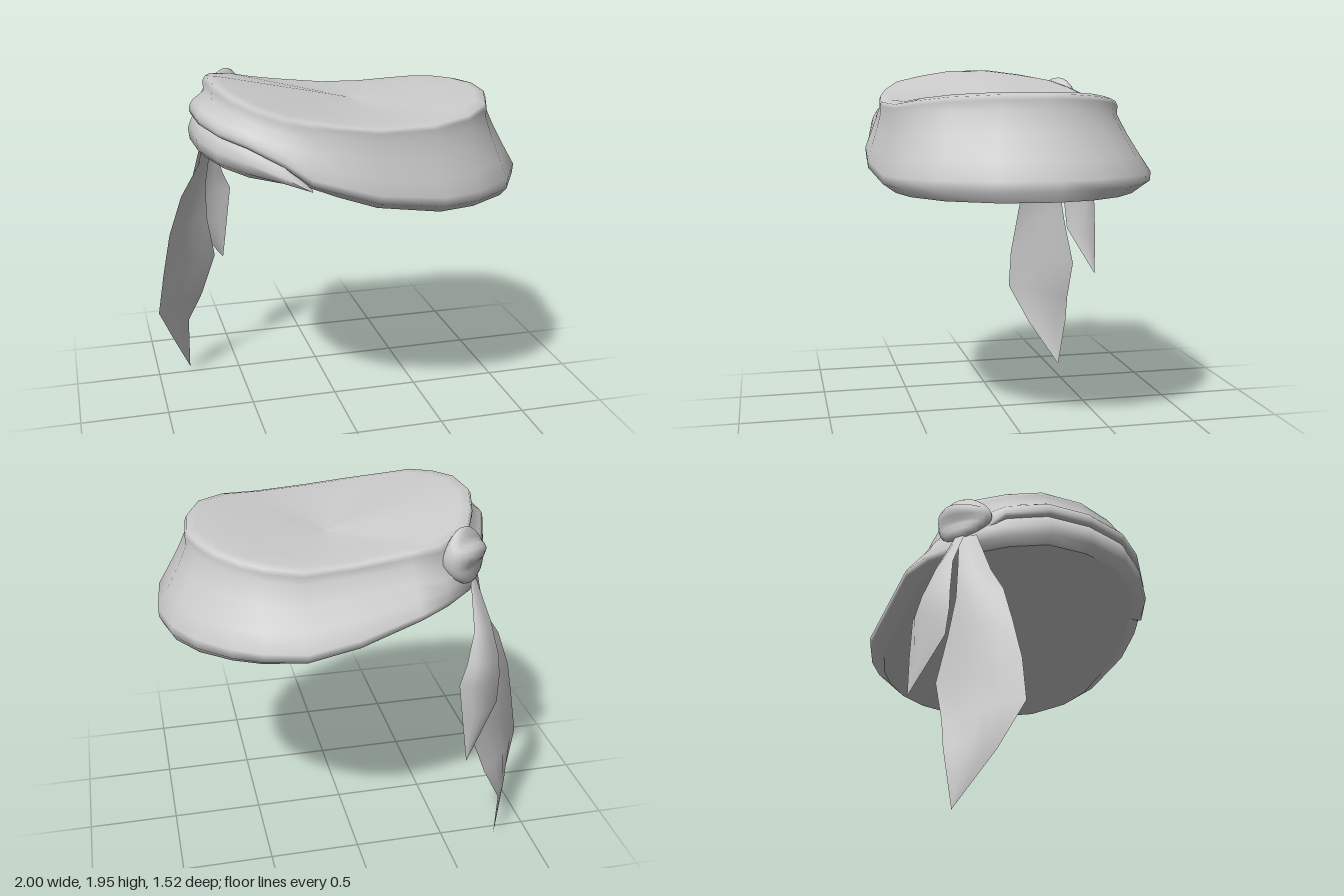
import * as THREE from 'three';

const { lerp, smoothstep } = THREE.MathUtils;

// stations round the head: rim x, rim z, outer x, outer z
const STATIONS = [
  [0.82, -0.06, 1.0, -0.08], [0.8, 0.17, 0.97, 0.24], [0.71, 0.42, 0.82, 0.51], [0.56, 0.57, 0.6, 0.665],
  [0.35, 0.64, 0.4, 0.715], [0.05, 0.68, 0.04, 0.757], [-0.17, 0.66, -0.16, 0.75], [-0.28, 0.635, -0.3, 0.72],
  [-0.4, 0.6, -0.43, 0.69], [-0.54, 0.52, -0.6, 0.57], [-0.63, 0.37, -0.72, 0.43], [-0.69, 0.18, -0.79, 0.2],
  [-0.7, -0.06, -0.8, -0.05], [-0.65, -0.25, -0.72, -0.28], [-0.57, -0.44, -0.6, -0.48], [-0.4, -0.53, -0.43, -0.63],
  [-0.25, -0.54, -0.27, -0.71], [0.05, -0.55, 0.05, -0.745], [0.3, -0.56, 0.32, -0.762], [0.49, -0.51, 0.53, -0.7],
  [0.6, -0.45, 0.68, -0.62], [0.71, -0.34, 0.84, -0.48], [0.78, -0.2, 0.95, -0.3],
];

// heights along x
const RIM = [[-0.7, 1.955], [-0.6, 1.905], [-0.4, 1.85], [-0.2, 1.82], [0, 1.795], [0.25, 1.78], [0.5, 1.805], [0.8, 1.85]];
const FOLD = [[-0.8, 1.74], [-0.6, 1.69], [-0.43, 1.605], [-0.3, 1.498], [-0.16, 1.45], [0, 1.39], [0.2, 1.345], [0.4, 1.32], [1, 1.32]];
const LOW = [[-0.8, 1.57], [-0.6, 1.535], [-0.38, 1.515], [-0.3, 1.498], [-0.16, 1.45], [0, 1.39], [0.2, 1.345], [0.4, 1.32], [1, 1.32]];

// profiles from rim to lower edge: outward fraction, downward fraction
const WIDE = [[0, 0.03], [0.06, 0.08], [0.04, 0.17], [0.32, 0.38], [0.7, 0.62], [1, 0.8], [0.98, 0.9]];
const NARROW = [[0, 0.03], [0.15, 0.15], [0.12, 0.4], [0.72, 0.6], [0.9, 0.72], [0.95, 0.85], [0.88, 0.95]];
const WRAP = [[0.5, -0.2], [0.85, 0.1], [1.05, 0.4], [0.97, 0.75]];

// middles of the crown and of the underside
const CROWN = [0.1, 1.787, -0.08];
const BASE = [0.1, 1.4, 0];

function heightAt(table, x) {
  if (x <= table[0][0]) return table[0][1];
  for (let i = 1; i < table.length; i++) {
    const [x0, y0] = table[i - 1], [x1, y1] = table[i];
    if (x <= x1) return lerp(y0, y1, (x - x0) / (x1 - x0));
  }
  return table[table.length - 1][1];
}

const mix = (a, b, t) => a.map((v, c) => lerp(v, b[c], t));

function makeMesh(name, geometry) {
  const material = new THREE.MeshStandardMaterial({ color: 0xcccccc, side: THREE.DoubleSide });
  const mesh = new THREE.Mesh(geometry, material);
  mesh.name = name;
  return mesh;
}

// surface through columns of points, each column having the same length
function loft(name, columns, closed) {
  const n = columns.length, m = columns[0].length, index = [];
  for (let i = 0; i < (closed ? n : n - 1); i++) {
    for (let j = 0; j < m - 1; j++) {
      const a = i * m + j, b = ((i + 1) % n) * m + j;
      index.push(a, b, a + 1, b, b + 1, a + 1);
    }
  }
  const geometry = new THREE.BufferGeometry();
  geometry.setAttribute('position', new THREE.Float32BufferAttribute(columns.flat(2), 3));
  geometry.setIndex(index);
  geometry.computeVertexNormals();
  return makeMesh(name, geometry);
}

const narrowness = (s) => 1 - smoothstep(s[2], -0.6, -0.1);
const between = (s, f) => [lerp(s[0], s[2], f), lerp(s[1], s[3], f)];

// lower edge, tucked slightly inward
function lowerEdge(s, table) {
  const [x, z] = between(s, lerp(0.85, 0.6, narrowness(s)));
  return [x, heightAt(table, s[2]), z * 0.92];
}

// crown and main band in one smooth skin
function bandColumn(s) {
  const w = narrowness(s);
  const table = s[3] < -0.4 ? LOW : FOLD;
  const top = heightAt(RIM, s[0]), bottom = heightAt(table, s[2]);
  const crown = [0, 0.33, 0.66, 0.93].map((k) => mix(CROWN, [s[0], top, s[1]], k));
  const side = WIDE.map(([f, g], j) => {
    const [x, z] = between(s, lerp(f, NARROW[j][0], w));
    return [x, lerp(top, bottom, lerp(g, NARROW[j][1], w)), z];
  });
  return [...crown, ...side, lowerEdge(s, table)];
}

// second wrap showing below the fold
function wrapColumn(s) {
  const top = heightAt(FOLD, s[2]), bottom = heightAt(LOW, s[2]);
  const points = WRAP.map(([f, g]) => {
    const [x, z] = between(s, f);
    return [x, lerp(top, bottom, g), z];
  });
  return [...points, lowerEdge(s, LOW)];
}

const undersideColumn = (s) => [0, 0.5, 1].map((k) => mix(lowerEdge(s, LOW), BASE, k));

// cloth tail between two edges, bowed across its width
function tail(name, left, right, bow) {
  const columns = left.map((a, i) => {
    const along = Math.sin((Math.PI * i) / (left.length - 1));
    return [0, 0.25, 0.5, 0.75, 1].map((t) =>
      mix(a, right[i], t).map((v, c) => v + bow[c] * 4 * t * (1 - t) * along));
  });
  return loft(name, columns, false);
}

// pleated knot, flaring towards its outer end
function knot() {
  const geometry = new THREE.SphereGeometry(1, 24, 14);
  const p = geometry.attributes.position, v = new THREE.Vector3();
  for (let i = 0; i < p.count; i++) {
    v.fromBufferAttribute(p, i);
    const pleat = 1 + 0.17 * Math.cos(5 * Math.atan2(v.z, v.y)) * Math.sqrt(Math.max(0, 1 - v.x * v.x));
    const flare = 0.88 + 0.2 * v.x;
    p.setXYZ(i, v.x * 0.165, v.y * 0.15 * pleat * flare + v.x * 0.01, v.z * 0.105 * pleat * flare);
  }
  geometry.computeVertexNormals();
  const mesh = makeMesh('knot', geometry);
  mesh.position.set(-0.56, 1.745, -0.455);
  mesh.rotation.y = 0.7;
  return mesh;
}

export function createModel() {
  const model = new THREE.Group();
  model.name = 'knottedHeadWrap';
  model.add(
    loft('bandAndCrown', STATIONS.map(bandColumn), true),
    loft('lowerWrap', STATIONS.slice(7, 15).map(wrapColumn), false),
    loft('underside', STATIONS.map(undersideColumn), true),
    knot(),
    tail('longTail', [
      [-0.65, 1.62, -0.42], [-0.72, 1.37, -0.36], [-0.83, 1.2, -0.33], [-0.91, 0.98, -0.31],
      [-0.96, 0.75, -0.28], [-1.0, 0.51, -0.275], [-0.91, 0.28, -0.39], [-0.8, 0, -0.57],
    ], [
      [-0.59, 1.62, -0.5], [-0.63, 1.4, -0.515], [-0.66, 1.2, -0.53], [-0.655, 0.98, -0.565],
      [-0.61, 0.72, -0.61], [-0.7, 0.48, -0.6], [-0.79, 0.3, -0.615], [-0.8, 0, -0.57],
    ], [-0.02, 0, -0.02]),
    tail('shortTail', [
      [-0.62, 1.62, -0.48], [-0.69, 1.4, -0.56], [-0.74, 1.2, -0.585], [-0.75, 1.08, -0.59],
      [-0.74, 0.93, -0.605], [-0.54, 0.66, -0.735],
    ], [
      [-0.58, 1.62, -0.52], [-0.58, 1.38, -0.62], [-0.53, 1.22, -0.68], [-0.485, 1.12, -0.71],
      [-0.51, 0.9, -0.725], [-0.54, 0.66, -0.735],
    ], [0, 0, -0.05]),
  );
  return model;
}
